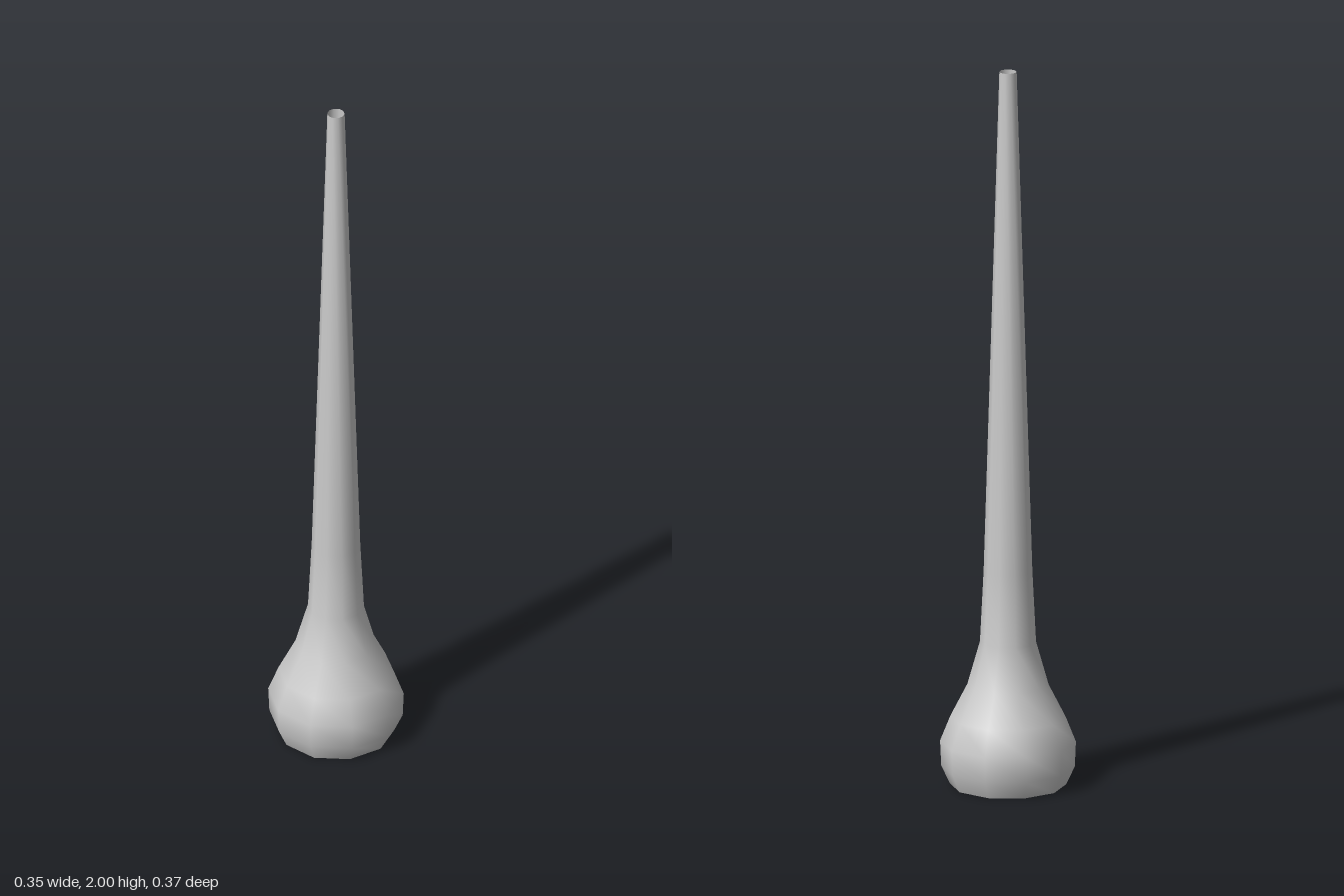
import * as THREE from 'three';

export function createModel() {
  const group = new THREE.Group();
  const material = new THREE.MeshStandardMaterial({ color: 0xcccccc, side: THREE.DoubleSide });

  // Open ten-sided shell: bulbous base, concave shoulder, long tapering neck [radius, height]
  const profile = [
    [0.158, 0], [0.181, 0.05], [0.184, 0.12], [0.156, 0.19], [0.11, 0.28],
    [0.076, 0.4], [0.066, 0.6], [0.0235, 2],
  ].map(([r, y]) => new THREE.Vector2(r, y));

  const shell = new THREE.Mesh(new THREE.LatheGeometry(profile, 10), material);
  shell.name = 'taperedShell';
  group.add(shell);
  return group;
}
